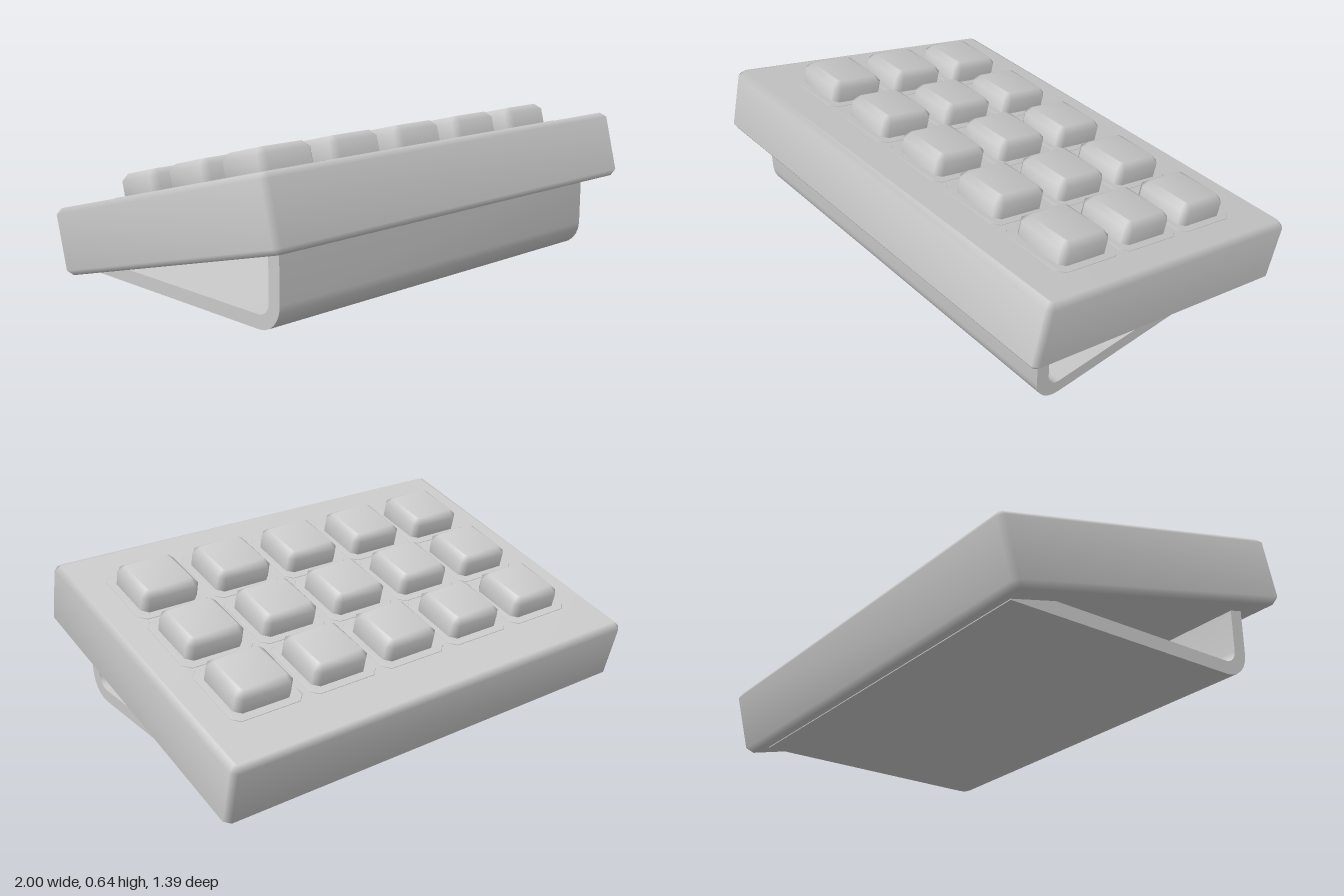
import * as THREE from 'three';
import { mergeVertices, toCreasedNormals } from 'three/addons/utils/BufferGeometryUtils.js';

const material = new THREE.MeshStandardMaterial({ color: 0xcccccc });

// Box with every edge cut at 45 degrees and softly shaded normals
function chamferBox(w, h, d, c, cornerCut = c) {
  const x = w / 2, y = d / 2, k = cornerCut;
  const outline = new THREE.Shape([
    [x, k - y], [x, y - k], [x - k, y], [k - x, y],
    [-x, y - k], [-x, k - y], [k - x, -y], [x - k, -y],
  ].map(([a, b]) => new THREE.Vector2(a, b)));
  const geo = new THREE.ExtrudeGeometry(outline, {
    depth: h - 2 * c, bevelEnabled: true, bevelSegments: 1,
    bevelThickness: c, bevelSize: c, bevelOffset: -c,
  });
  geo.center().rotateX(-Math.PI / 2);
  geo.deleteAttribute('normal');
  geo.deleteAttribute('uv');
  const soft = mergeVertices(geo, 1e-4);
  soft.computeVertexNormals();
  return soft;
}

function addMesh(parent, name, geometry, x = 0, y = 0, z = 0) {
  const mesh = new THREE.Mesh(geometry, material);
  mesh.name = name;
  mesh.position.set(x, y, z);
  parent.add(mesh);
}

export function createModel() {
  const model = new THREE.Group();
  model.name = 'keypad';

  // Tilted housing carrying the keys
  const thickness = 0.28, top = thickness / 2;
  const deck = new THREE.Group();
  deck.name = 'deck';
  deck.position.y = 0.308;
  deck.rotation.x = THREE.MathUtils.degToRad(-14.5);
  model.add(deck);
  addMesh(deck, 'housing', chamferBox(2, thickness, 1.38, 0.023), 0, 0, 0);

  // Five by three keys, each on a very thin surround
  const keyGeo = chamferBox(0.257, 0.15, 0.25, 0.026);
  const surroundGeo = chamferBox(0.32, 0.02, 0.32, 0.002, 0.03);
  for (let row = -1; row <= 1; row++) {
    for (let col = -2; col <= 2; col++) {
      const x = 0.008 + col * 0.349, z = 0.013 + row * 0.338;
      addMesh(deck, 'keySurround', surroundGeo, x, top - 0.008, z);
      addMesh(deck, 'key', keyGeo, x, top + 0.015, z);
    }
  }

  // Bent sheet stand: upright at the front, flat foot running to the back
  const profile = new THREE.Shape();
  profile.moveTo(-0.57, 0.012);
  profile.lineTo(0.47, 0.012);
  profile.absarc(0.47, 0.122, 0.11, -Math.PI / 2, 0, false);
  profile.lineTo(0.58, 0.36);
  profile.lineTo(0.522, 0.36);
  profile.lineTo(0.522, 0.122);
  profile.absarc(0.467, 0.122, 0.055, 0, -Math.PI / 2, true);
  profile.lineTo(-0.57, 0.067);
  const halfWidth = 0.888;
  const stand = new THREE.ExtrudeGeometry(profile, {
    depth: 2 * halfWidth, bevelEnabled: false, curveSegments: 3,
  });
  stand.translate(0, 0, -halfWidth).rotateY(-Math.PI / 2);
  addMesh(model, 'stand', toCreasedNormals(stand, 0.8));

  return model;
}
